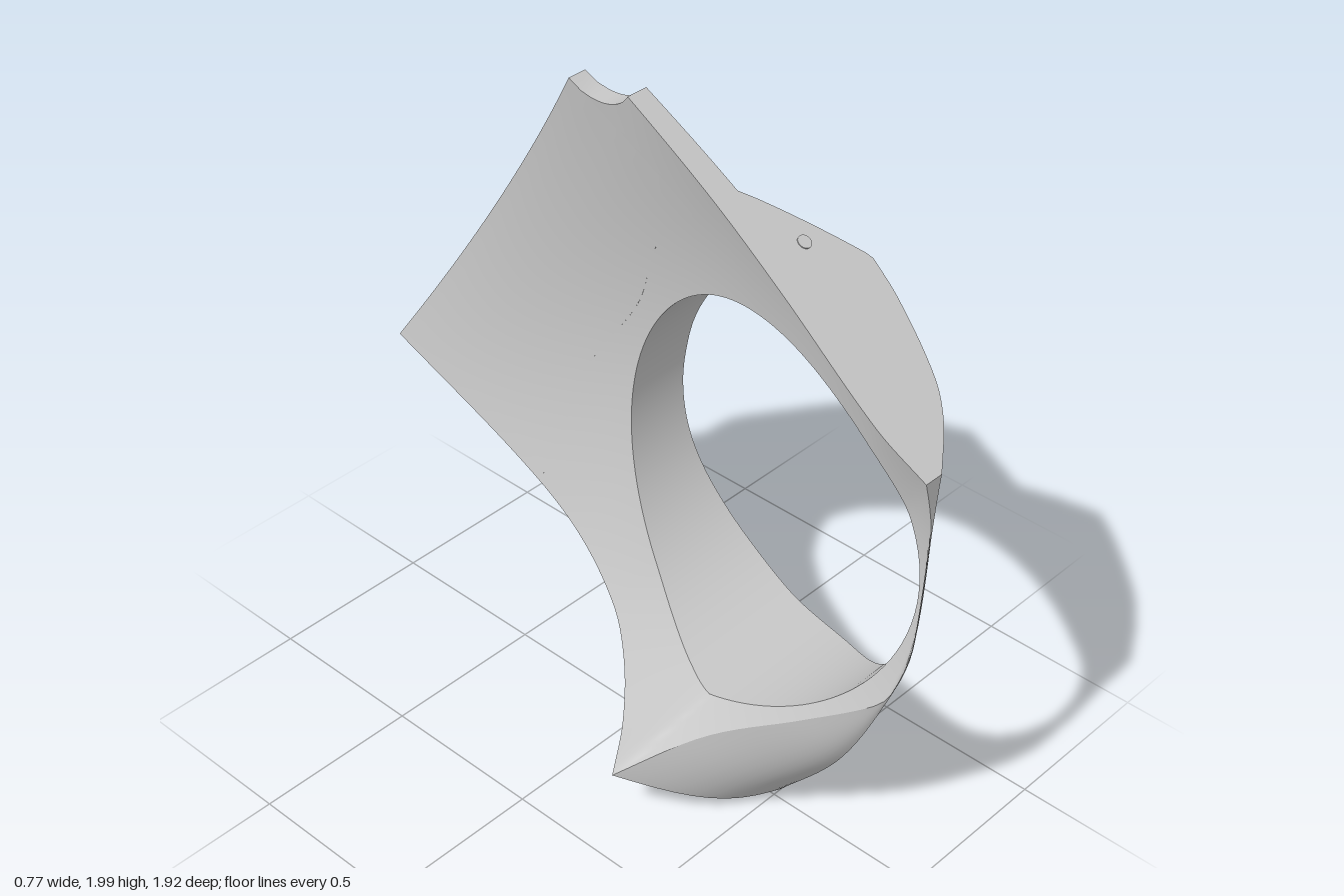
import * as THREE from 'three';

const grey = new THREE.MeshStandardMaterial({ color: 0xc8c8c8, side: THREE.DoubleSide });
grey.name = 'matte grey';

// Panel frame: u runs along the lower edge, w up to the upper edge, x is depth.
const place = ([u, w, x]) => [x, 0.01 + 0.527 * u + 0.85 * w, 0.5 - 0.85 * u + 0.527 * w];
const { lerp, clamp, smoothstep } = THREE.MathUtils;
const steps = (a, b, n) => Array.from({ length: n + 1 }, (_, i) => lerp(a, b, i / n));

// Smooth curve through [position, value] pairs
function curve(p) {
  const slope = (i) => {
    const a = p[Math.max(i - 1, 0)], b = p[Math.min(i + 1, p.length - 1)];
    return (b[1] - a[1]) / (b[0] - a[0]);
  };
  return (s) => {
    if (s <= p[0][0]) return p[0][1];
    if (s >= p[p.length - 1][0]) return p[p.length - 1][1];
    let i = 0;
    while (s > p[i + 1][0]) i++;
    const h = p[i + 1][0] - p[i][0], t = (s - p[i][0]) / h, t2 = t * t, t3 = t2 * t;
    return (2 * t3 - 3 * t2 + 1) * p[i][1] + (t3 - 2 * t2 + t) * h * slope(i)
      + (3 * t2 - 2 * t3) * p[i + 1][1] + (t3 - t2) * h * slope(i + 1);
  };
}

// Blend of the depths at the lower edge, the middle and the upper edge
const H = 1.39, END = 1.71;
function blend(low, mid, top, w) {
  const t = w / (H / 2);
  return low * (t - 1) * (t - 2) / 2 + mid * t * (2 - t) + top * t * (t - 1) / 2;
}

// Outline curves
const frontEdge = curve([[0, 0], [0.4, -0.044], [0.79, 0], [0.965, 0.057], [1.39, 0.32]]);
const innerRidge = curve([[0, 0.31], [0.23, 0.23], [0.47, 0.1], [0.7, 0], [0.79, 0], [0.965, 0.057], [1.39, 0.32]]);
const stepLine = curve([[0, 1.118], [0.394, 1.235], [0.76, 1.235], [0.987, 1.28], [1.18, 1.25], [1.39, 1.19]]);
const slopeTop = curve([[0.95, 1.17], [1.1, 1.06], [1.24, 0.92], [1.39, 0.87]]);
const farEdge = (w) => (w <= 1.244 ? END : 1.7 - Math.sqrt(Math.max(0, 0.0256 - (w - 1.4) ** 2)));

// Depth of the inner face
const inLow = curve([[0.31, -0.38], [0.41, -0.25], [0.55, -0.12], [0.7, -0.03], [0.94, 0.03], [1.2, 0.03], [1.71, -0.03]]);
const inMid = curve([[0.0, -0.05], [0.3, 0], [0.6, 0.06], [1.15, 0.14], [1.71, 0.065]]);
const inTop = curve([[0.32, -0.03], [0.5, -0.04], [0.9, 0], [1.2, 0.02], [1.53, 0.02], [1.71, 0.01]]);
const inner = (u, w) => blend(inLow(u), inMid(u), inTop(u), w);
const panelOuter = (u, w) => inner(u, w) + lerp(0.085, 0.06, clamp((u - 1.15) / 0.56, 0, 1));

// Depth of the outer face: a swelling that slopes down to the thin panel near the upper edge
const outLow = curve([[0, 0.03], [0.08, 0.14], [0.25, 0.24], [0.455, 0.3], [0.65, 0.325], [0.9, 0.295], [1.118, 0.2]]);
const outMid = curve([[0, -0.035], [0.06, 0.055], [0.25, 0.24], [0.45, 0.31], [0.65, 0.345], [0.9, 0.365], [1.15, 0.37], [1.25, 0.29]]);
const outTop = curve([[0, 0.03], [0.1, 0.14], [0.2, 0.21], [0.415, 0.285], [0.55, 0.31], [0.87, 0.36]]);
const outer = (u, w) => {
  const d = u - frontEdge(w), a = slopeTop(w);
  const swell = blend(outLow(d), outMid(d), outTop(d), w);
  const drop = clamp((u - a) / (stepLine(w) - a), 0, 1) * smoothstep(w, 0.85, 1.05);
  return lerp(swell, panelOuter(u, w), drop);
};
const bodyInner = (u, w) => Math.min(inner(u, w), outer(u, w) - 0.005);

// Mesh from rows of [u, w, x] points
function sheet(name, rows, closed = false) {
  const n = rows[0].length, index = [];
  for (let i = 0; i < rows.length - 1; i++) {
    for (let j = 0; j < (closed ? n : n - 1); j++) {
      const k = (j + 1) % n, a = i * n + j, b = i * n + k;
      index.push(a, a + n, b + n, a, b + n, b);
    }
  }
  const g = new THREE.BufferGeometry();
  g.setAttribute('position', new THREE.Float32BufferAttribute(rows.flat().flatMap(place), 3));
  g.setIndex(index);
  g.computeVertexNormals();
  const m = new THREE.Mesh(g, grey);
  m.name = name;
  return m;
}

// Thick body with the large round opening
function makeBody() {
  const body = new THREE.Group();
  body.name = 'body';
  const N = 40, CU = 0.613, CW = 0.76, R = 0.55;
  const up = steps(0, H, N), down = steps(H, 0, N);
  const side = (name, out, inn) => ({ name, out, inn });
  const sides = [
    side('lowerFace', steps(0, 1.118, N).map((u) => [u, 0]), steps(0.31, 1.118, N).map((u) => [u, 0])),
    side('stepFace', up.map((w) => [stepLine(w), w]), up.map((w) => [stepLine(w), w])),
    side('upperFace', steps(1.19, 0.32, N).map((u) => [u, H]), steps(1.19, 0.32, N).map((u) => [u, H])),
    side('frontFace', down.map((w) => [frontEdge(w), w]), down.map((w) => [innerRidge(w), w])),
  ];
  const lift = (f) => ([u, w]) => [u, w, f(u, w)];
  // Side faces bow outwards where the inner ridge lies behind the front edge
  for (const s of sides) {
    const out = s.out.map(lift(outer)), inn = s.inn.map(lift(bodyInner));
    body.add(sheet(s.name, steps(0, 1, 10).map((t) => out.map(([u, w, x], j) => {
      const gap = inn[j][0] - u;
      return [u + gap * (t - 0.18 * Math.sin(Math.PI * t)), w, lerp(x, inn[j][2], t)];
    }))));
  }

  const outLine = sides.flatMap((s) => s.out.slice(0, -1));
  const inLine = sides.flatMap((s) => s.inn.slice(0, -1));
  const rim = outLine.map(([u, w]) => {
    const a = Math.atan2(w - CW, u - CU);
    return [CU + R * Math.cos(a), CW + R * Math.sin(a)];
  });
  const ring = (line, f) => steps(0, 1, 16).map((t) =>
    line.map(([u, w], j) => lift(f)([lerp(rim[j][0], u, t), lerp(rim[j][1], w, t)])));
  body.add(sheet('outerSurface', ring(outLine, outer), true));
  body.add(sheet('innerSurface', ring(inLine, bodyInner).reverse(), true));
  body.add(sheet('openingWall', [rim.map(lift(bodyInner)), rim.map(lift(outer))], true));
  return body;
}

// Thin rear panel with the notched corner
function makePanel() {
  const panel = new THREE.Group();
  panel.name = 'rearPanel';
  const ws = [...steps(0, 1.244, 24), ...steps(1.2441, H, 12)];
  const face = (f) => steps(0, 1, 16).map((t) => ws.map((w) => {
    const u = lerp(stepLine(w), farEdge(w), t);
    return [u, w, f(u, w)];
  }));
  const out = face(panelOuter), inn = face(inner), last = ws.length - 1;
  panel.add(sheet('panelOuter', out), sheet('panelInner', [...inn].reverse()));
  panel.add(sheet('panelLowerEdge', [out.map((r) => r[0]), inn.map((r) => r[0])]));
  panel.add(sheet('panelUpperEdge', [out.map((r) => r[last]).reverse(), inn.map((r) => r[last]).reverse()]));
  const o = out[out.length - 1], i = inn[inn.length - 1];
  panel.add(sheet('panelEnd', [o.slice(0, 25), i.slice(0, 25)]));
  panel.add(sheet('notch', [o.slice(24), i.slice(24)]));
  return panel;
}

// Raised block with rounded long edges and front corners
function makeBlock() {
  const block = new THREE.Group();
  block.name = 'raisedBlock';
  const section = (u, inset) => {
    const t = (u - 1.2) / 0.51, h = lerp(0.305, 0.22, t), base = lerp(0.16, 0.08, t);
    const lo = 0.4 + inset, hi = 1.01 - inset, r = 0.06, pts = [[u, lo, base]];
    for (const a of steps(0, Math.PI / 2, 6)) pts.push([u, lo + r * (1 - Math.cos(a)), h - r * (1 - Math.sin(a))]);
    pts.push([u, 0.7, h + 0.008]);
    for (const a of steps(Math.PI / 2, 0, 6)) pts.push([u, hi - r * (1 - Math.cos(a)), h - r * (1 - Math.sin(a))]);
    pts.push([u, hi, base]);
    // The front end leans with the round opening
    const lean = 0.06 * clamp((1.4 - u) / 0.2, 0, 1);
    return pts.map(([pu, w, x]) => [pu + lean * (w - 0.7), w, x]);
  };
  const rows = [[1.19, 0.07], [1.198, 0.04], [1.215, 0.015], [1.25, 0], [1.4, 0], [1.55, 0], [END, 0]]
    .map(([u, s]) => section(u, s));
  const flat = (row) => row.map(([u, w]) => [u, w, row[0][2]]);
  const end = rows[rows.length - 1];
  block.add(sheet('blockTop', rows), sheet('blockFront', [flat(rows[0]), rows[0]]), sheet('blockEnd', [end, flat(end)]));
  return block;
}

// Small round screw plug lying on a face that looks along dir (in u, w)
function screwPlug(u, w, x, dir) {
  const m = new THREE.Mesh(new THREE.CylinderGeometry(0.02, 0.02, 0.006, 20), grey);
  m.position.set(...place([u, w, x]));
  const normal = new THREE.Vector3(0, 0.527 * dir[0] + 0.85 * dir[1], -0.85 * dir[0] + 0.527 * dir[1]);
  m.quaternion.setFromUnitVectors(new THREE.Vector3(0, 1, 0), normal.normalize());
  m.name = 'screwPlug';
  return m;
}

export function createModel() {
  const model = new THREE.Group();
  model.name = 'curvedPanel';
  model.add(makeBody(), makePanel(), makeBlock());
  model.add(screwPlug(END, 0.46, 0.13, [1, 0]), screwPlug(END, 0.95, 0.13, [1, 0]));
  model.add(screwPlug(0.99, H, 0.165, [0, 1]), screwPlug(0.632, 0, 0.108, [0, -1]));
  return model;
}
